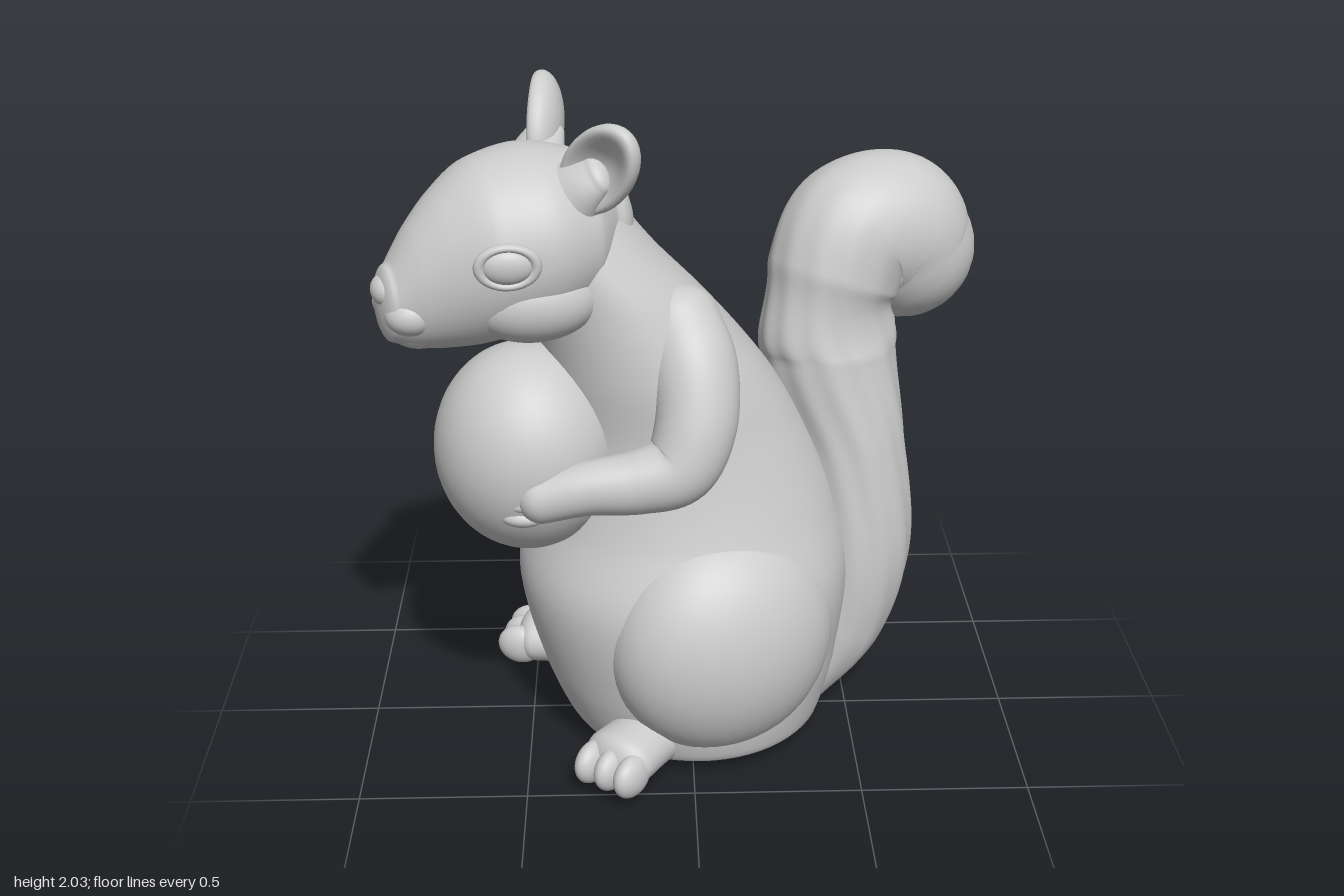
import * as THREE from 'three';

const mat = new THREE.MeshStandardMaterial({ color: 0xcccccc, side: THREE.DoubleSide });
const V = (x, y, z) => new THREE.Vector3(x, y, z);

function add(parent, name, geometry) {
  const mesh = new THREE.Mesh(geometry, mat);
  mesh.name = name;
  parent.add(mesh);
  return mesh;
}

function ellipsoid(parent, name, pos, rad, yaw = 0) {
  const g = new THREE.SphereGeometry(1, 40, 28);
  g.scale(...rad);
  const m = add(parent, name, g);
  m.position.set(...pos);
  m.rotation.y = yaw;
  return m;
}

// Skin of elliptical rings. Each section is [x, y, z, side radius, other radius].
// A fixed axis keeps all rings parallel; caps are domes scaled by cap0 and cap1.
function loft(sections, { side, axis, cap0 = 1, cap1 = 1, rings = 60, seg = 48, ripple }) {
  const path = new THREE.CatmullRomCurve3(sections.map(s => V(s[0], s[1], s[2])));
  const radii = new THREE.CatmullRomCurve3(sections.map(s => V(s[3], s[4], 0)));
  const pos = [], index = [];
  let count = 0;
  const ring = (t, lift, shrink) => {
    const c = path.getPoint(t), r = radii.getPoint(t);
    const T = axis || path.getTangent(t);
    const S = side.clone().addScaledVector(T, -side.dot(T)).normalize();
    const U = T.clone().cross(S).normalize();
    c.addScaledVector(T, lift * Math.min(r.x, r.y));
    for (let j = 0; j < seg; j++) {
      const a = j / seg * Math.PI * 2;
      const k = shrink * (1 + (ripple ? ripple(t, a) : 0));
      const p = c.clone().addScaledVector(S, r.x * k * Math.cos(a)).addScaledVector(U, r.y * k * Math.sin(a));
      pos.push(p.x, p.y, p.z);
    }
    count++;
  };
  const D = 8, q = Math.PI / 2 / D;
  for (let i = D; i > 0; i--) ring(0, -cap0 * Math.sin(i * q), Math.cos(i * q));
  for (let i = 0; i <= rings; i++) ring(i / rings, 0, 1);
  for (let i = 1; i <= D; i++) ring(1, cap1 * Math.sin(i * q), Math.cos(i * q));
  for (let i = 0; i < count - 1; i++) {
    for (let j = 0; j < seg; j++) {
      const a = i * seg + j, b = i * seg + (j + 1) % seg;
      index.push(a, b, a + seg, b, b + seg, a + seg);
    }
  }
  const g = new THREE.BufferGeometry();
  g.setAttribute('position', new THREE.Float32BufferAttribute(pos, 3));
  g.setIndex(index);
  g.computeVertexNormals();
  return g;
}

// Dished ear: an ellipsoid whose front is pressed inwards
function earGeometry() {
  const g = new THREE.SphereGeometry(1, 32, 24), p = g.attributes.position;
  for (let i = 0; i < p.count; i++) {
    const z = p.getZ(i);
    if (z > 0) p.setZ(i, z * (1 - 1.4 * z * z));
  }
  g.scale(0.105, 0.16, 0.07);
  g.computeVertexNormals();
  return g;
}

export function createModel() {
  const model = new THREE.Group();
  model.name = 'squirrel';

  // Torso with neck, and a shallow hollow underneath
  add(model, 'torso', loft([
    [0.02, 0.08, -0.01, 0.13, 0.13],
    [0.02, 0.05, -0.01, 0.21, 0.21],
    [0.03, 0.01, -0.01, 0.31, 0.33],
    [0.02, 0.03, -0.01, 0.39, 0.41],
    [0.00, 0.20, -0.01, 0.455, 0.45],
    [-0.02, 0.50, -0.03, 0.51, 0.48],
    [-0.025, 0.75, -0.07, 0.47, 0.43],
    [-0.06, 1.00, -0.05, 0.39, 0.36],
    [-0.12, 1.20, -0.01, 0.325, 0.32],
    [-0.21, 1.40, 0.03, 0.255, 0.265],
    [-0.30, 1.55, 0.05, 0.205, 0.23],
    [-0.37, 1.68, 0.06, 0.17, 0.19],
    [-0.42, 1.78, 0.07, 0.09, 0.10],
  ], { side: V(1, 0, 0), axis: V(0, 1, 0), cap0: 0, cap1: 0.4, rings: 90, seg: 64 }));

  // Limbs are mirrored in a group whose +z is the way the body points
  const limbs = new THREE.Group();
  limbs.name = 'limbs';
  limbs.position.set(-0.16, 0, 0.01);
  limbs.rotation.y = Math.atan2(-0.94, 0.34);
  model.add(limbs);
  for (const s of [1, -1]) {
    const n = s > 0 ? 'left' : 'right';
    ellipsoid(limbs, n + 'Haunch', [s * 0.31, 0.385, -0.15], [0.26, 0.365, 0.36], s * 0.12);

    // Foot with three toes
    add(limbs, n + 'Foot', loft([
      [s * 0.24, 0.1, -0.04, 0.11, 0.1],
      [s * 0.33, 0.095, 0.1, 0.105, 0.09],
      [s * 0.40, 0.09, 0.21, 0.115, 0.085],
    ], { side: V(1, 0, -0.7), rings: 16, cap1: 0.75 }));
    for (const k of [-1, 0, 1]) {
      ellipsoid(limbs, n + 'Toe', [s * (0.427 + k * 0.058), 0.075, 0.245 - k * 0.04], [0.042, 0.066, 0.075], s * 0.6);
    }

    // Arm bent at the elbow, paw resting on the nut
    add(limbs, n + 'Arm', loft([
      [s * 0.17, 1.36, -0.07, 0.11, 0.12],
      [s * 0.25, 1.25, -0.08, 0.125, 0.13],
      [s * 0.325, 1.10, -0.06, 0.115, 0.12],
      [s * 0.345, 0.985, 0.00, 0.105, 0.11],
      [s * 0.325, 0.95, 0.11, 0.09, 0.095],
      [s * 0.28, 0.935, 0.26, 0.075, 0.08],
      [s * 0.235, 0.905, 0.38, 0.07, 0.075],
    ], { side: V(1, 0, 0.1) }));
    for (const k of [-1, 0, 1]) {
      ellipsoid(limbs, n + 'Finger', [s * 0.21, 0.89 + k * 0.045, 0.43], [0.045, 0.03, 0.065], -s * 0.5);
    }
  }
  ellipsoid(limbs, 'nut', [0, 0.97, 0.345], [0.28, 0.315, 0.275]);

  // Bushy tail that rises and curls over backwards
  add(model, 'tail', loft([
    [0.33, 0.06, -0.11, 0.16, 0.12],
    [0.44, 0.25, -0.13, 0.20, 0.18],
    [0.50, 0.50, -0.14, 0.21, 0.20],
    [0.48, 0.85, -0.16, 0.205, 0.19],
    [0.43, 1.15, -0.18, 0.195, 0.21],
    [0.44, 1.36, -0.20, 0.195, 0.21],
    [0.51, 1.48, -0.25, 0.215, 0.235],
    [0.62, 1.49, -0.30, 0.22, 0.235],
    [0.67, 1.42, -0.325, 0.215, 0.22],
  ], {
    side: V(0.47, 0, 0.88), cap0: 0.4, rings: 140, seg: 96,
    ripple: (t, a) => 0.013 * Math.sin(13 * a + 30 * t) * Math.sin(Math.PI * Math.min(1, t * 1.25)),
  }));

  // Head: +z of this group is the way the nose points
  const head = new THREE.Group();
  head.name = 'head';
  head.position.set(-0.45, 1.6, 0.1);
  head.rotation.set(0, Math.atan2(-0.914, 0.407), -0.06, 'YXZ');
  model.add(head);
  add(head, 'skull', loft([
    [0, 0.02, -0.21, 0.14, 0.16],
    [0, 0.02, -0.12, 0.235, 0.23],
    [0, 0.01, 0.03, 0.275, 0.268],
    [0, -0.015, 0.18, 0.245, 0.262],
    [0, -0.055, 0.29, 0.18, 0.225],
    [0, -0.095, 0.37, 0.13, 0.175],
    [0, -0.13, 0.43, 0.09, 0.115],
  ], { side: V(1, 0, 0), axis: V(0, 0, 1), cap0: 0.6, cap1: 0.4 }));
  ellipsoid(head, 'nose', [0, -0.09, 0.44], [0.055, 0.045, 0.04]);
  ellipsoid(head, 'chin', [0, -0.205, 0.34], [0.09, 0.07, 0.1]);

  const earGeo = earGeometry();
  for (const s of [1, -1]) {
    const n = s > 0 ? 'left' : 'right';
    ellipsoid(head, n + 'Cheek', [s * 0.15, -0.12, 0.06], [0.125, 0.12, 0.19], s * -0.2);
    ellipsoid(head, n + 'Muzzle', [s * 0.055, -0.15, 0.385], [0.07, 0.06, 0.075]);

    // Eye with a raised lid
    ellipsoid(head, n + 'Eye', [s * 0.245, 0.03, 0.17], [0.03, 0.05, 0.07], s * -0.3);
    const lid = add(head, n + 'Eyelid', new THREE.TorusGeometry(0.078, 0.016, 12, 40));
    lid.position.set(s * 0.246, 0.03, 0.17);
    lid.rotation.y = s * (Math.PI / 2 - 0.3);
    lid.scale.y = 0.72;

    // Ear, leaning out and back, with a stem into the skull
    const up = V(s * 0.15, 0.2, -0.08).normalize();
    const face = V(s * 0.55, 0, 0.83);
    face.addScaledVector(up, -face.dot(up)).normalize();
    const ear = add(head, n + 'Ear', earGeo);
    ear.quaternion.setFromRotationMatrix(new THREE.Matrix4().makeBasis(up.clone().cross(face), up, face));
    ear.position.set(s * 0.215, 0.26, -0.11);
    add(head, n + 'EarBase', loft([
      [s * 0.11, 0.14, -0.05, 0.12, 0.1],
      [s * 0.16, 0.2, -0.085, 0.085, 0.065],
      [s * 0.19, 0.24, -0.115, 0.065, 0.04],
    ], { side: V(1, 0, -0.4), rings: 16, cap1: 0.8 }));
  }
  return model;
}
